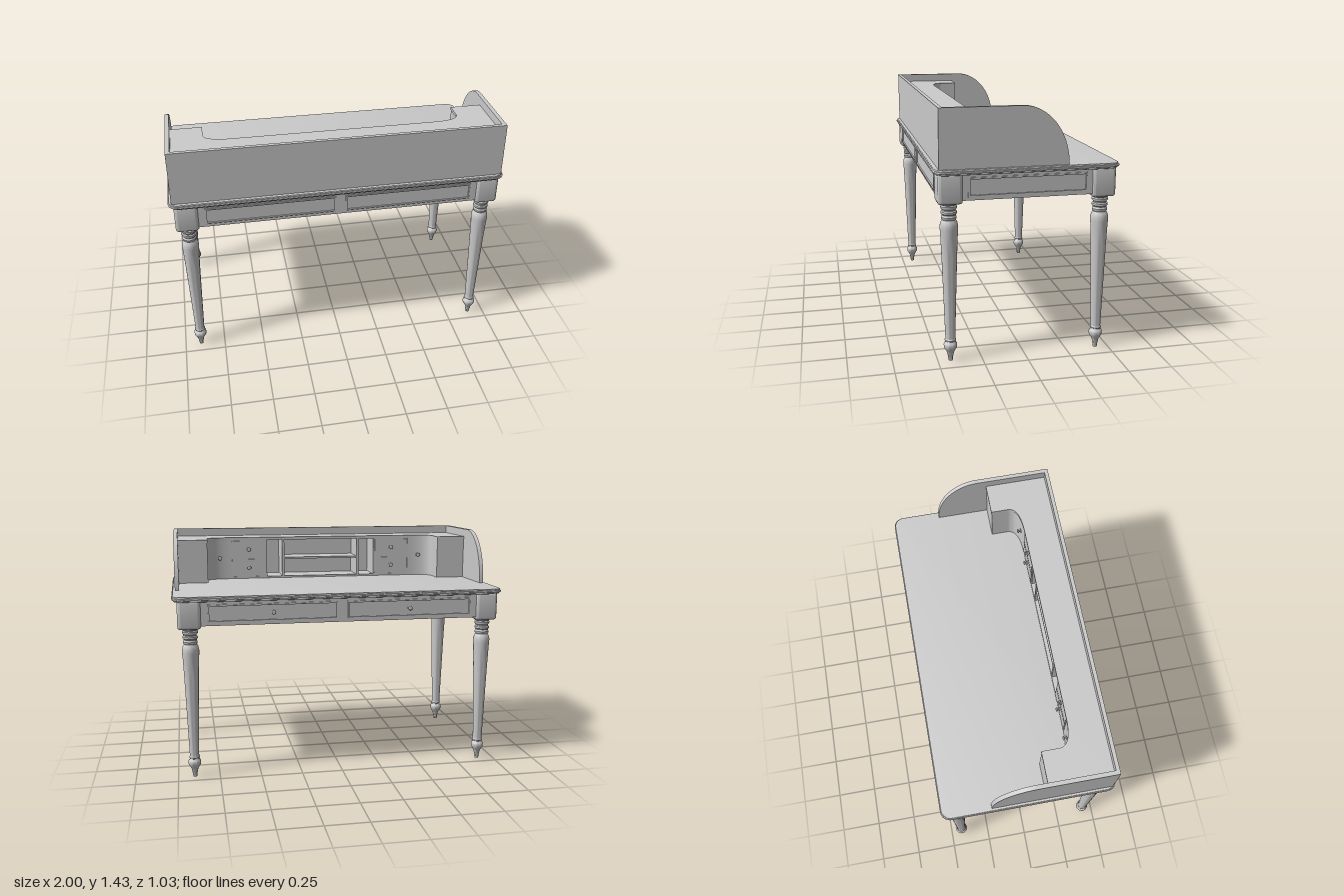
import * as THREE from 'three';
import { toCreasedNormals } from 'three/addons/utils/BufferGeometryUtils.js';

const mat = new THREE.MeshStandardMaterial({ color: 0xcccccc });
const SIDES = [1, -1];

function add(parent, name, geo, x = 0, y = 0, z = 0) {
  const m = new THREE.Mesh(geo, mat);
  m.name = name;
  m.position.set(x, y, z);
  parent.add(m);
  return m;
}

// box given by its limits
function block(parent, name, x0, x1, y0, y1, z0, z1) {
  return add(parent, name, new THREE.BoxGeometry(x1 - x0, y1 - y0, z1 - z0),
    (x0 + x1) / 2, (y0 + y1) / 2, (z0 + z1) / 2);
}

function roundedRect(w, d, r) {
  const s = new THREE.Shape(), a = w / 2, b = d / 2;
  s.absarc(a - r, b - r, r, 0, Math.PI / 2);
  s.absarc(-a + r, b - r, r, Math.PI / 2, Math.PI);
  s.absarc(-a + r, -b + r, r, Math.PI, Math.PI * 1.5);
  s.absarc(a - r, -b + r, r, Math.PI * 1.5, Math.PI * 2);
  s.closePath();
  return s;
}

// plan outline (x, z) extruded between two heights, with an optional bevel
function slab(shape, y0, y1, bevel = 0, bevelHeight = bevel) {
  const geo = new THREE.ExtrudeGeometry(shape, {
    depth: y1 - y0 - 2 * bevelHeight, bevelEnabled: bevel > 0, bevelSize: bevel,
    bevelThickness: bevelHeight, bevelSegments: 3, curveSegments: 14,
  });
  geo.rotateX(Math.PI / 2).translate(0, y1 - bevelHeight, 0);
  return toCreasedNormals(geo, 0.6);
}

function lathe(pts, n) {
  const g = new THREE.LatheGeometry(pts.map(p => new THREE.Vector2(p[0], p[1])), n);
  return toCreasedNormals(g, 0.7);
}

// knob pointing along +z
const knobGeo = lathe([[0.0001, 0], [0.013, 0], [0.013, 0.003], [0.006, 0.005], [0.005, 0.011],
  [0.012, 0.015], [0.013, 0.019], [0.009, 0.023], [0.0001, 0.024]], 20).rotateX(Math.PI / 2);

// raised moulding frame facing +z
function mouldingFrame(w, h) {
  const g = new THREE.Group();
  g.name = 'panelMoulding';
  [[0, 0.005, 0.005], [0.004, 0.007, 0.009]].forEach(([inset, width, depth]) => {
    const s = roundedRect(w - 2 * inset, h - 2 * inset, 0.001);
    s.holes.push(new THREE.Path(roundedRect(w - 2 * (inset + width), h - 2 * (inset + width), 0.001).getPoints(2)));
    add(g, 'mouldingStrip', new THREE.ExtrudeGeometry(s, { depth, bevelEnabled: false, curveSegments: 2 }));
  });
  return g;
}

// turned leg with square post
const legGeo = lathe([[0.0001, 0], [0.012, 0], [0.014, 0.02], [0.02, 0.05], [0.029, 0.066], [0.037, 0.08],
  [0.038, 0.095], [0.036, 0.104], [0.027, 0.112], [0.025, 0.116], [0.031, 0.119], [0.032, 0.126],
  [0.028, 0.131], [0.028, 0.14], [0.036, 0.4], [0.043, 0.62], [0.048, 0.74], [0.05, 0.77], [0.05, 0.79],
  [0.045, 0.81], [0.037, 0.822], [0.042, 0.828], [0.043, 0.838], [0.038, 0.845], [0.038, 0.85],
  [0.044, 0.857], [0.044, 0.868], [0.038, 0.874], [0.038, 0.88], [0.045, 0.887], [0.046, 0.898],
  [0.04, 0.904], [0.048, 0.91], [0.048, 0.925]], 28);

function createTable(g) {
  // moulded table top in three layers
  add(g, 'topLowerMoulding', slab(roundedRect(1.972, 1.002, 0.05), 1.078, 1.09, 0.004));
  add(g, 'topMiddleMoulding', slab(roundedRect(1.992, 1.022, 0.055), 1.088, 1.1, 0.004));
  add(g, 'tableTop', slab(roundedRect(1.982, 1.012, 0.055), 1.098, 1.11, 0.004));
  block(g, 'apron', -0.96, 0.96, 0.935, 1.08, -0.484, 0.484);

  for (const sx of SIDES) {
    for (const sz of SIDES) {
      add(g, 'leg', legGeo, sx * 0.9, 0, sz * 0.428);
      add(g, 'legPost', slab(roundedRect(0.108, 0.108, 0.006), 0.917, 1.085, 0.014, 0.016),
        sx * 0.903, 0, sz * 0.428);
      // long-side panels
      const f = mouldingFrame(0.77, 0.108);
      f.position.set(sx * 0.413, 1.007, sz * 0.484);
      if (sz < 0) f.rotation.y = Math.PI;
      g.add(f);
    }
    // end panels
    const e = mouldingFrame(0.665, 0.108);
    e.position.set(sx * 0.96, 1.007, 0);
    e.rotation.y = sx * Math.PI / 2;
    g.add(e);
    add(g, 'drawerKnob', knobGeo, sx * 0.413, 1.007, -0.484).rotation.y = Math.PI;
  }
}

function createHutch(g) {
  const top = 1.385, under = 1.367, base = 1.108;
  block(g, 'backPanel', -0.975, 0.975, base, 1.435, 0.468, 0.49);

  // curved end panels
  const end = new THREE.Shape();
  end.moveTo(0.49, base);
  end.lineTo(0.49, 1.435);
  end.lineTo(0.04, 1.435);
  end.absellipse(0.04, base, 0.26, 1.435 - base, Math.PI / 2, Math.PI, false);
  end.closePath();
  const endGeo = toCreasedNormals(new THREE.ExtrudeGeometry(end,
    { depth: 0.025, bevelEnabled: false, curveSegments: 32 }).rotateY(-Math.PI / 2), 0.6);
  add(g, 'leftEndPanel', endGeo, 0.98);
  add(g, 'rightEndPanel', endGeo, -0.955);

  // hutch top with concave corners
  const plan = new THREE.Shape();
  plan.moveTo(0.96, 0.475);
  plan.lineTo(0.96, 0.097);
  plan.lineTo(0.767, 0.097);
  plan.lineTo(0.767, 0.2);
  plan.quadraticCurveTo(0.767, 0.273, 0.6, 0.273);
  plan.lineTo(-0.6, 0.273);
  plan.quadraticCurveTo(-0.767, 0.273, -0.767, 0.2);
  plan.lineTo(-0.767, 0.097);
  plan.lineTo(-0.96, 0.097);
  plan.lineTo(-0.96, 0.475);
  add(g, 'hutchTop', slab(plan, under, top));
  block(g, 'hutchFloor', -0.62, 0.62, base, 1.122, 0.278, 0.475);
  block(g, 'centreShelf', -0.26, 0.26, 1.236, 1.248, 0.282, 0.475);

  for (const s of SIDES) {
    // end cabinet with curved door
    const c = new THREE.Shape();
    c.moveTo(s * 0.958, 0.475);
    c.lineTo(s * 0.958, 0.1);
    c.lineTo(s * 0.77, 0.1);
    c.lineTo(s * 0.77, 0.2);
    c.quadraticCurveTo(s * 0.77, 0.277, s * 0.61, 0.277);
    c.lineTo(s * 0.61, 0.475);
    add(g, 'endCabinet', slab(c, base, under));
    add(g, 'doorKnob', knobGeo, s * 0.683, 1.25, 0.27).rotation.y = Math.PI;

    // drawer case and slot divider
    const mid = s * 0.49;
    block(g, 'drawerCase', mid - 0.122, mid + 0.122, base, under, 0.282, 0.475);
    block(g, 'slotDivider', s * 0.258 - 0.008, s * 0.258 + 0.008, base, under, 0.278, 0.475);
    for (const y of [1.183, 1.305]) {
      block(g, 'smallDrawer', mid - 0.112, mid + 0.112, y - 0.055, y + 0.055, 0.275, 0.285);
      add(g, 'smallDrawerKnob', knobGeo, mid, y, 0.275).rotation.y = Math.PI;
    }
  }
}

export function createModel() {
  const desk = new THREE.Group();
  desk.name = 'writingDesk';
  for (const [name, build] of [['table', createTable], ['hutch', createHutch]]) {
    const g = new THREE.Group();
    g.name = name;
    build(g);
    desk.add(g);
  }
  return desk;
}
